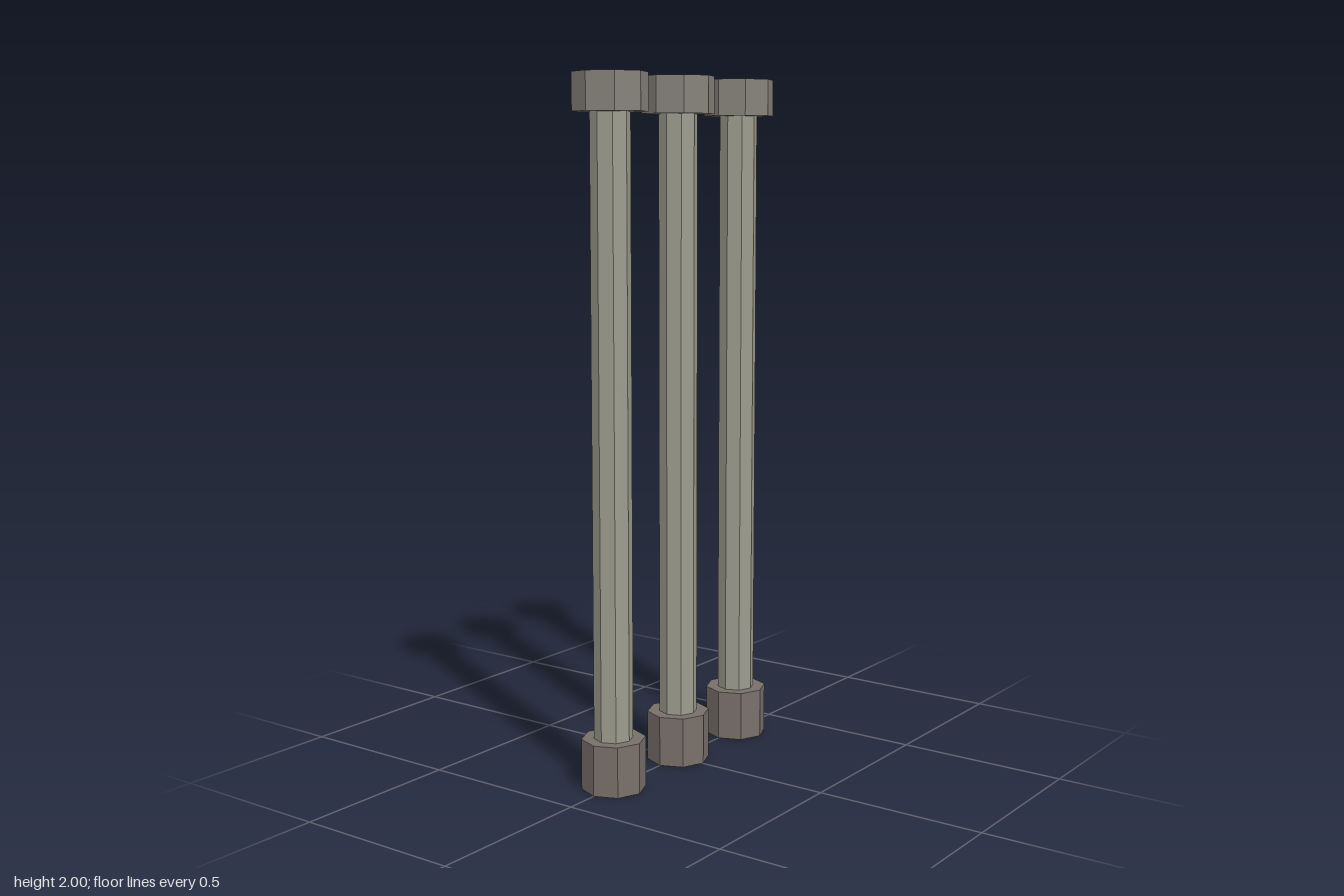
import * as THREE from 'three';

const SIDES = 8;

function paint(color) {
  return new THREE.MeshStandardMaterial({ color, flatShading: true, side: THREE.DoubleSide });
}

function part(name, geometry, material, y = 0) {
  const mesh = new THREE.Mesh(geometry, material);
  mesh.name = name;
  mesh.position.y = y;
  return mesh;
}

export function createModel() {
  const model = new THREE.Group();
  model.name = 'bolts';

  const shaftPaint = paint(0x9c9c8e);
  const headPaint = paint(0x86827a);
  const collarPaint = paint(0x78706a);

  // Octagonal head, closed on both ends
  const headGeometry = new THREE.CylinderGeometry(0.104, 0.104, 0.105, SIDES);

  // Hollow shaft, open at the bottom
  const shaftBottom = 0.04, shaftTop = 1.9;
  const shaftGeometry = new THREE.CylinderGeometry(
    0.056, 0.056, shaftTop - shaftBottom, SIDES, 1, true);

  // Collar: outer wall with a flat top, open underneath
  const collarProfile = [[0.092, 0], [0.092, 0.147], [0.056, 0.147]];
  const collarGeometry = new THREE.LatheGeometry(
    collarProfile.map(([r, y]) => new THREE.Vector2(r, y)), SIDES);

  // Three bolts in a row
  [-0.308, 0.003, 0.307].forEach((x) => {
    const bolt = new THREE.Group();
    bolt.name = 'bolt';
    bolt.position.x = x;
    bolt.add(
      part('head', headGeometry, headPaint, 1.9475),
      part('shaft', shaftGeometry, shaftPaint, (shaftBottom + shaftTop) / 2),
      part('collar', collarGeometry, collarPaint),
    );
    model.add(bolt);
  });

  return model;
}
